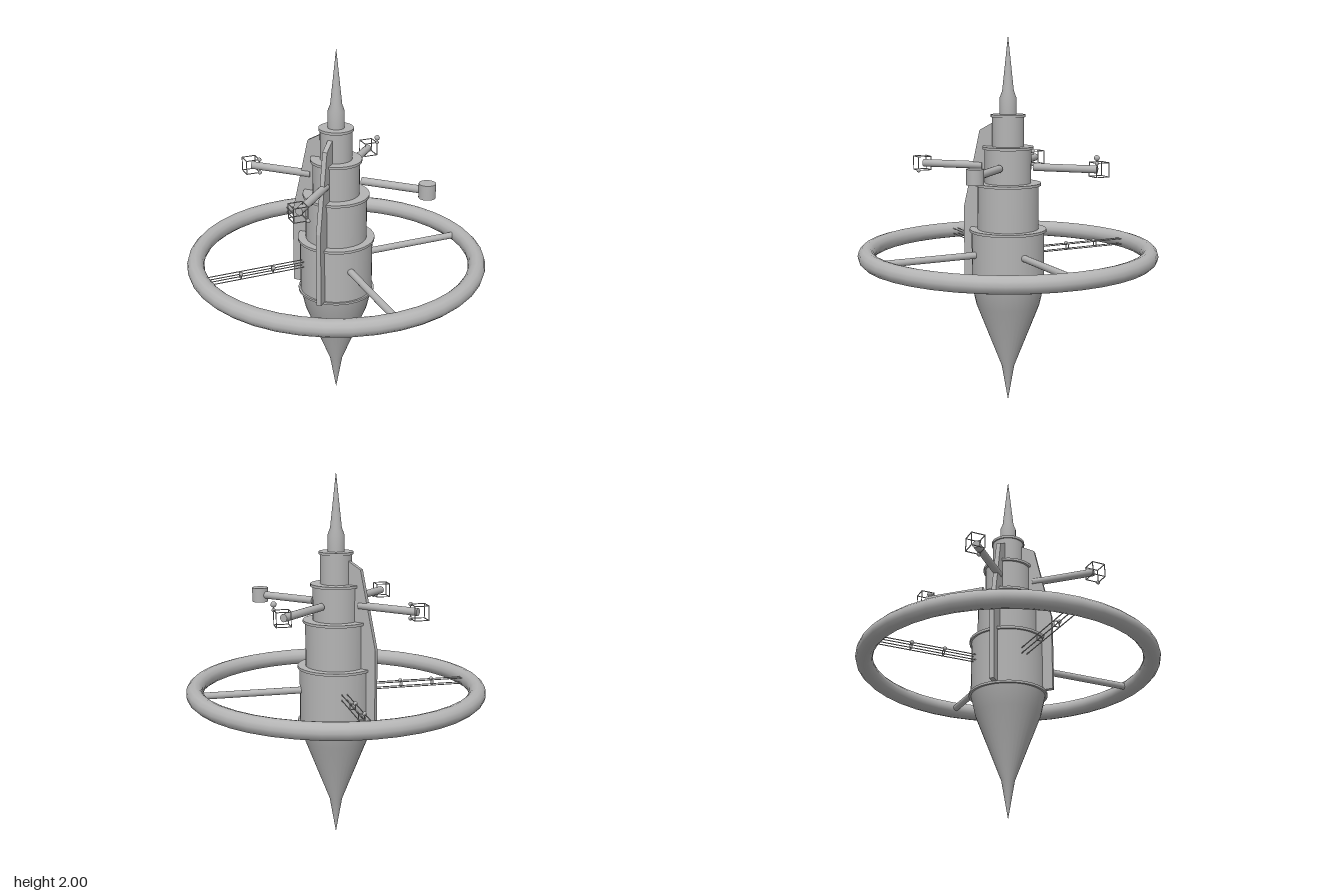
import * as THREE from 'three';

export function createModel() {
  const model = new THREE.Group();
  const grey = new THREE.MeshStandardMaterial({ color: 0xb4b4b4 });
  grey.name = 'hull grey';

  const add = (parent, name, geometry, x = 0, y = 0, z = 0) => {
    const mesh = new THREE.Mesh(geometry, grey);
    mesh.name = name;
    mesh.position.set(x, y, z);
    parent.add(mesh);
    return mesh;
  };
  const group = (name, x = 0, y = 0, z = 0, turn = 0) => {
    const g = new THREE.Group();
    g.name = name;
    g.position.set(x, y, z);
    g.rotation.y = turn;
    model.add(g);
    return g;
  };
  const lathe = (points) =>
    new THREE.LatheGeometry(points.map(([r, y]) => new THREE.Vector2(r, y)), 32);
  // Round bar lying along local x
  const bar = (from, to, radius) =>
    new THREE.CylinderGeometry(radius, radius, to - from, 16)
      .rotateZ(-Math.PI / 2).translate((from + to) / 2, 0, 0);
  const ball = (r) => new THREE.SphereGeometry(r, 12, 8);

  // Tapering keel and top spire
  add(model, 'keelCone', lathe([[0, 0], [0.035, 0.2], [0.172, 0.55], [0.197, 0.66]]));
  add(model, 'spire', lathe([[0.044, 1.58], [0.044, 1.675], [0.031, 1.71], [0, 2]]));

  // Stepped tower: [radius, bottom, top, rim radius]
  const tiers = [
    [0.197, 0.655, 0.97, 0.208],
    [0.165, 0.96, 1.22, 0.178],
    [0.125, 1.21, 1.415, 0.137],
    [0.085, 1.41, 1.585, 0.092],
  ];
  for (const [r, y0, y1, rim] of tiers) {
    add(model, 'towerTier', new THREE.CylinderGeometry(r, r, y1 - y0, 32), 0, (y0 + y1) / 2, 0);
    add(model, 'tierRim', new THREE.CylinderGeometry(rim, rim, 0.014, 32), 0, y1 - 0.006, 0);
  }
  add(model, 'keelRim', new THREE.CylinderGeometry(0.208, 0.208, 0.012, 32), 0, 0.66, 0);

  // Habitat ring
  const ringY = 0.84;
  add(model, 'habitatRing', new THREE.TorusGeometry(0.763, 0.046, 12, 40).rotateX(Math.PI / 2), 0, ringY, 0);

  // Solid spokes toward the left and the front
  for (const turn of [0, -Math.PI / 2]) {
    add(group('spoke', 0, ringY, 0, turn), 'spokeTube', bar(0.19, 0.73, 0.0185));
  }

  // Open truss spokes toward the right and the back
  const wire = 0.004, half = 0.015;
  for (const turn of [Math.PI, Math.PI / 2]) {
    const truss = group('trussSpoke', 0, ringY, 0, turn);
    for (const a of [-half, half]) {
      for (const b of [-half, half]) {
        add(truss, 'trussRail', new THREE.BoxGeometry(0.55, wire, wire), 0.46, a, b);
      }
    }
    for (const r of [0.37, 0.55]) {
      for (const s of [-half, half]) {
        add(truss, 'trussStrut', new THREE.BoxGeometry(wire, 2 * half, wire), r, 0, s);
        add(truss, 'trussStrut', new THREE.BoxGeometry(wire, wire, 2 * half), r, s, 0);
      }
      add(truss, 'trussLamp', ball(0.011), r, half, -half);
    }
  }

  // Two swept fins on the right side
  const finShape = new THREE.Shape([
    [0.06, 0.66], [0.25, 0.665], [0.25, 1.08], [0.157, 1.5], [0.085, 1.54], [0.06, 1.54],
  ].map(([x, y]) => new THREE.Vector2(x, y)));
  const finGeometry = new THREE.ExtrudeGeometry(finShape, { depth: 0.025, bevelEnabled: false })
    .translate(0, 0, -0.0125);
  for (const turn of [-0.75, 0.75]) {
    add(group('fin', 0, 0, 0, turn * Math.PI), 'finPlate', finGeometry);
  }

  // Four diagonal docking arms
  const armY = 1.31, reach = 0.353;
  for (const [sx, sz] of [[1, 1], [1, -1], [-1, 1], [-1, -1]]) {
    const isPod = sx > 0 && sz > 0;
    const arm = group('dockingArm', 0, armY, 0, Math.atan2(-sz, sx));
    add(arm, 'armTube', bar(0.145, isPod ? 0.48 : 0.49, 0.0205));
  }
  add(model, 'dockingPod', new THREE.CylinderGeometry(0.044, 0.044, 0.078, 24), reach, armY, reach);

  // Open cube frames with small lamps on one corner
  const h = 0.037;
  const frames = [
    [1, -1, [[0.065, 0.015], [0.037, 0.01]]],
    [-1, 1, [[-0.037, 0.011]]],
    [-1, -1, [[0.037, 0.011], [-0.037, 0.011]]],
  ];
  for (const [sx, sz, lamps] of frames) {
    const frame = group('cubeFrame', sx * reach, armY, sz * reach);
    for (const a of [-h, h]) {
      for (const b of [-h, h]) {
        const len = 2 * h + wire;
        add(frame, 'frameEdge', new THREE.BoxGeometry(len, wire, wire), 0, a, b);
        add(frame, 'frameEdge', new THREE.BoxGeometry(wire, len, wire), a, 0, b);
        add(frame, 'frameEdge', new THREE.BoxGeometry(wire, wire, len), a, b, 0);
      }
    }
    for (const [y, r] of lamps) add(frame, 'frameLamp', ball(r), h, y, h);
  }
  // Short stem under the raised lamp
  add(model, 'lampStem', new THREE.CylinderGeometry(0.003, 0.003, 0.03, 8), reach + h, armY + 0.05, h - reach);

  return model;
}
